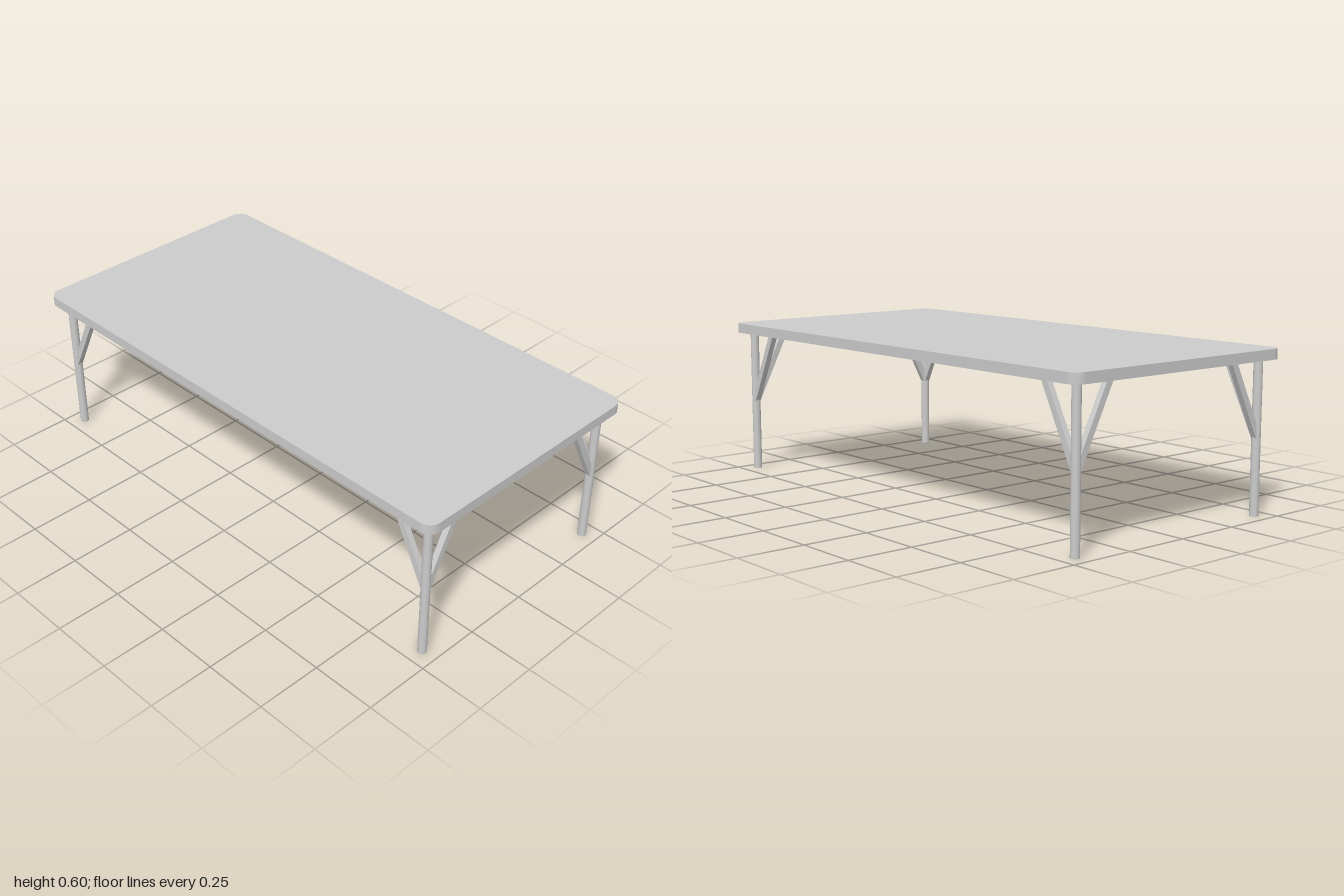
import * as THREE from 'three';

const TOP = 0.6, UNDER = 0.562;      // heights of the table top's faces
const LEG_X = 0.44, LEG_Z = 0.942;   // leg centres

// Rounded rectangle slab, lying flat
function tabletopGeometry(w, d, r) {
  const x = w / 2, y = d / 2;
  const s = new THREE.Shape();
  s.moveTo(x, -y + r);
  s.absarc(x - r, y - r, r, 0, Math.PI / 2);
  s.absarc(-x + r, y - r, r, Math.PI / 2, Math.PI);
  s.absarc(-x + r, -y + r, r, Math.PI, Math.PI * 1.5);
  s.absarc(x - r, -y + r, r, Math.PI * 1.5, Math.PI * 2);
  const g = new THREE.ExtrudeGeometry(s, { depth: TOP - UNDER, bevelEnabled: false, curveSegments: 8 });
  return g.rotateX(-Math.PI / 2).translate(0, UNDER, 0);
}

// Slanted bar with level ends, rising from the leg centre towards -x
function braceGeometry() {
  const half = 0.014, run = 0.141, bottom = 0.281, depth = 0.022;
  const s = new THREE.Shape([
    new THREE.Vector2(-half, bottom),
    new THREE.Vector2(half, bottom),
    new THREE.Vector2(half - run, UNDER),
    new THREE.Vector2(-half - run, UNDER),
  ]);
  return new THREE.ExtrudeGeometry(s, { depth, bevelEnabled: false }).translate(0, 0, -depth / 2);
}

export function createModel() {
  const model = new THREE.Group();
  model.name = 'table';
  const material = new THREE.MeshStandardMaterial({ color: 0xcccccc });
  const add = (parent, name, geometry) => {
    const mesh = new THREE.Mesh(geometry, material);
    mesh.name = name;
    parent.add(mesh);
    return mesh;
  };

  add(model, 'tabletop', tabletopGeometry(1, 2, 0.045));

  const legGeo = new THREE.CylinderGeometry(0.0165, 0.0165, UNDER, 20).translate(0, UNDER / 2, 0);
  const braceGeo = braceGeometry();

  // Four legs, each with two braces pointing inwards
  for (const sx of [1, -1]) {
    for (const sz of [1, -1]) {
      const corner = new THREE.Group();
      corner.name = `${sz > 0 ? 'front' : 'back'}${sx > 0 ? 'Left' : 'Right'}Leg`;
      corner.position.set(sx * LEG_X, 0, sz * LEG_Z);
      add(corner, 'leg', legGeo);
      add(corner, 'sideBrace', braceGeo).rotation.y = sx > 0 ? 0 : Math.PI;
      add(corner, 'lengthBrace', braceGeo).rotation.y = -sz * Math.PI / 2;
      model.add(corner);
    }
  }
  return model;
}
